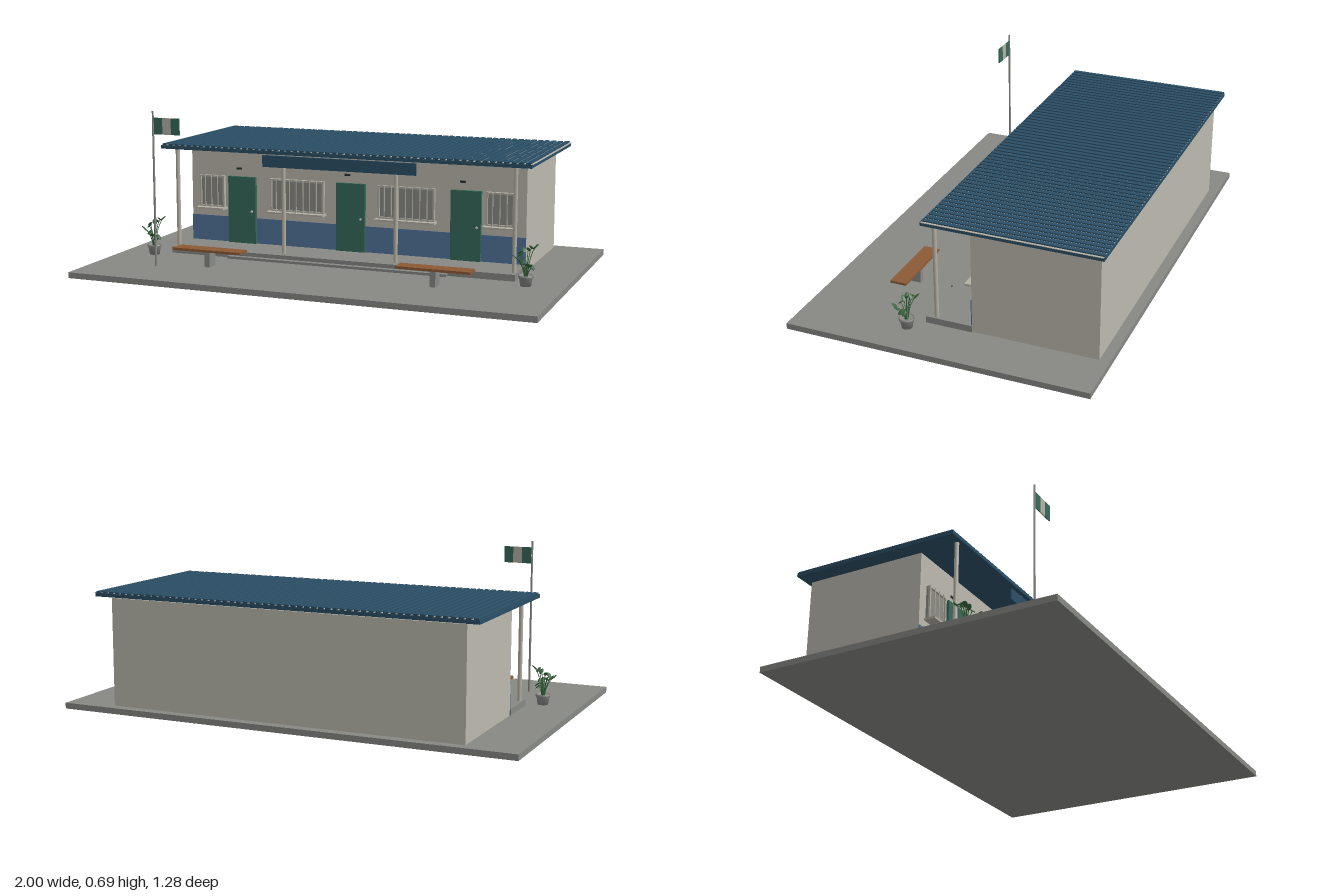
import * as THREE from 'three';

const mat = (name, color) => {
  const m = new THREE.MeshStandardMaterial({ color });
  m.name = name;
  return m;
};
const M = {
  concrete: mat('concrete', 0x878984),
  wall: mat('wallPaint', 0xbcb9ae),
  dado: mat('dadoBlue', 0x50749a),
  green: mat('doorGreen', 0x36695a),
  roof: mat('roofBlue', 0x2b4f66),
  light: mat('lightMetal', 0xb4b0a4),
  pane: mat('windowGrey', 0x8b8b85),
  wood: mat('benchWood', 0x8c5a34),
  leaf: mat('leafGreen', 0x35633a),
  dark: mat('darkMetal', 0x2c3136),
};

function add(parent, name, geometry, material) {
  const mesh = new THREE.Mesh(geometry, material);
  mesh.name = name;
  parent.add(mesh);
  return mesh;
}

// Box given by its limits on each axis
function box(parent, name, material, x0, x1, y0, y1, z0, z1) {
  const mesh = add(parent, name, new THREE.BoxGeometry(x1 - x0, y1 - y0, z1 - z0), material);
  mesh.position.set((x0 + x1) / 2, (y0 + y1) / 2, (z0 + z1) / 2);
  return mesh;
}

// Upright cylinder standing at y0
function pole(parent, name, material, x, z, r0, r1, y0, y1, sides = 12) {
  const mesh = add(parent, name, new THREE.CylinderGeometry(r1, r0, y1 - y0, sides), material);
  mesh.position.set(x, (y0 + y1) / 2, z);
  return mesh;
}

function group(parent, name) {
  const g = new THREE.Group();
  g.name = name;
  parent.add(g);
  return g;
}

function buildWindow(parent, x0, x1) {
  const g = group(parent, 'window');
  const y0 = 0.21, y1 = 0.355, f = 0.008;
  box(g, 'windowPane', M.pane, x0, x1, y0, y1, -0.068, -0.058);
  box(g, 'frameTop', M.light, x0, x1, y1 - f, y1, -0.068, -0.05);
  box(g, 'frameBottom', M.light, x0, x1, y0, y0 + f, -0.068, -0.05);
  for (const x of [x0, x1 - f]) box(g, 'frameSide', M.light, x, x + f, y0, y1, -0.068, -0.05);
  // security bars
  const n = Math.round((x1 - x0) / 0.032);
  for (let i = 1; i < n; i++) {
    const x = x0 + (x1 - x0) * i / n;
    pole(g, 'windowBar', M.light, x, -0.046, 0.0025, 0.0025, y0, y1, 6);
  }
  box(g, 'windowSill', M.light, x0 - 0.008, x1 + 0.008, 0.202, 0.211, -0.068, -0.02);
}

function buildDoor(parent, x) {
  const g = group(parent, 'door');
  box(g, 'doorLeaf', M.green, x - 0.067, x + 0.067, 0.053, 0.355, -0.068, -0.052);
  const knob = add(g, 'doorKnob', new THREE.SphereGeometry(0.006, 10, 8), M.light);
  knob.position.set(x + 0.05, 0.2, -0.047);
  box(g, 'doorPlate', M.dark, x - 0.03, x - 0.005, 0.386, 0.395, -0.068, -0.064);
}

function buildBench(parent, x) {
  const g = group(parent, 'bench');
  box(g, 'benchSeat', M.wood, x - 0.157, x + 0.157, 0.09, 0.1, 0.28, 0.35);
  box(g, 'benchLeg', M.concrete, x - 0.012, x + 0.012, 0.025, 0.09, 0.287, 0.345);
}

function buildPlant(parent, x) {
  const g = group(parent, 'pottedPlant');
  g.position.set(x, 0.025, 0.185);
  const profile = [[0, 0], [0.022, 0], [0.028, 0.036], [0.032, 0.036], [0.032, 0.044], [0.027, 0.044], [0.026, 0.038], [0, 0.038]];
  add(g, 'pot', new THREE.LatheGeometry(profile.map(p => new THREE.Vector2(...p)), 16), M.concrete);
  // stems fan out at golden-angle steps, each ending in a flat leaf
  for (let i = 0; i < 13; i++) {
    const a = i * 2.4, h = 0.075 + 0.085 * ((i * 5) % 13) / 12;
    const r = 0.022 + 0.024 * ((i * 7) % 13) / 12;
    const c = Math.cos(a), s = Math.sin(a);
    const curve = new THREE.QuadraticBezierCurve3(
      new THREE.Vector3(c * 0.006, 0.035, s * 0.006),
      new THREE.Vector3(c * r * 0.3, h * 0.8, s * r * 0.3),
      new THREE.Vector3(c * r, h, s * r));
    add(g, 'stem', new THREE.TubeGeometry(curve, 6, 0.0015, 5), M.leaf);
    const leaf = add(g, 'leaf', new THREE.SphereGeometry(1, 8, 6), M.leaf);
    leaf.scale.set(0.015, 0.0025, 0.009);
    leaf.position.set(c * r, h, s * r);
    leaf.rotation.set(0, -a, i % 2 ? 0.7 : -0.7);
  }
}

export function createModel() {
  const model = new THREE.Group();
  model.name = 'smallSchoolBuilding';

  // Ground slab, veranda and step
  box(model, 'groundSlab', M.concrete, -1, 1, 0, 0.025, -0.64, 0.64);
  box(model, 'veranda', M.concrete, -0.785, 0.785, 0.025, 0.053, -0.07, 0.13);
  box(model, 'step', M.concrete, -0.5, 0.5, 0.025, 0.036, 0.13, 0.155);

  // Walls
  box(model, 'walls', M.wall, -0.78, 0.78, 0.025, 0.482, -0.597, -0.068);
  box(model, 'frontDado', M.dado, -0.78, 0.78, 0.053, 0.168, -0.068, -0.064);

  // Doors and windows
  for (const x of [-0.525, -0.003, 0.52]) buildDoor(model, x);
  for (const [x0, x1] of [[-0.735, -0.612], [-0.385, -0.128], [0.125, 0.382], [0.608, 0.732]]) buildWindow(model, x0, x1);

  // Roof with raised ribs
  const roof = group(model, 'roof');
  box(roof, 'roofSheet', M.roof, -0.84, 0.84, 0.489, 0.504, -0.627, 0.113);
  const ribs = 56;
  for (let i = 0; i < ribs; i++) {
    const x = -0.84 + 1.68 * (i + 0.5) / ribs;
    box(roof, 'roofRib', M.roof, x - 0.01, x + 0.01, 0.504, 0.511, -0.625, 0.108);
    box(roof, 'ribGap', M.light, x + 0.01, x + 0.02, 0.504, 0.506, -0.625, 0.108);
  }

  // Veranda posts and sign board
  for (const x of [-0.77, -0.257, 0.257, 0.77]) pole(model, 'verandaPost', M.light, x, 0.088, 0.009, 0.009, 0.053, 0.489);
  box(model, 'signBoard', M.roof, -0.352, 0.348, 0.431, 0.482, 0.091, 0.1);

  // Flagpole with a three-band flag
  const flag = group(model, 'flag');
  pole(flag, 'flagpole', M.pane, -0.716, 0.4, 0.005, 0.004, 0.025, 0.69);
  [M.green, M.light, M.green].forEach((m, i) => {
    const x = -0.711 + i * 0.04;
    box(flag, 'flagBand', m, x, x + 0.04, 0.592, 0.662, 0.398, 0.402);
  });

  for (const side of [-1, 1]) {
    buildBench(model, side * 0.502);
    buildPlant(model, side * 0.843);
  }
  return model;
}
